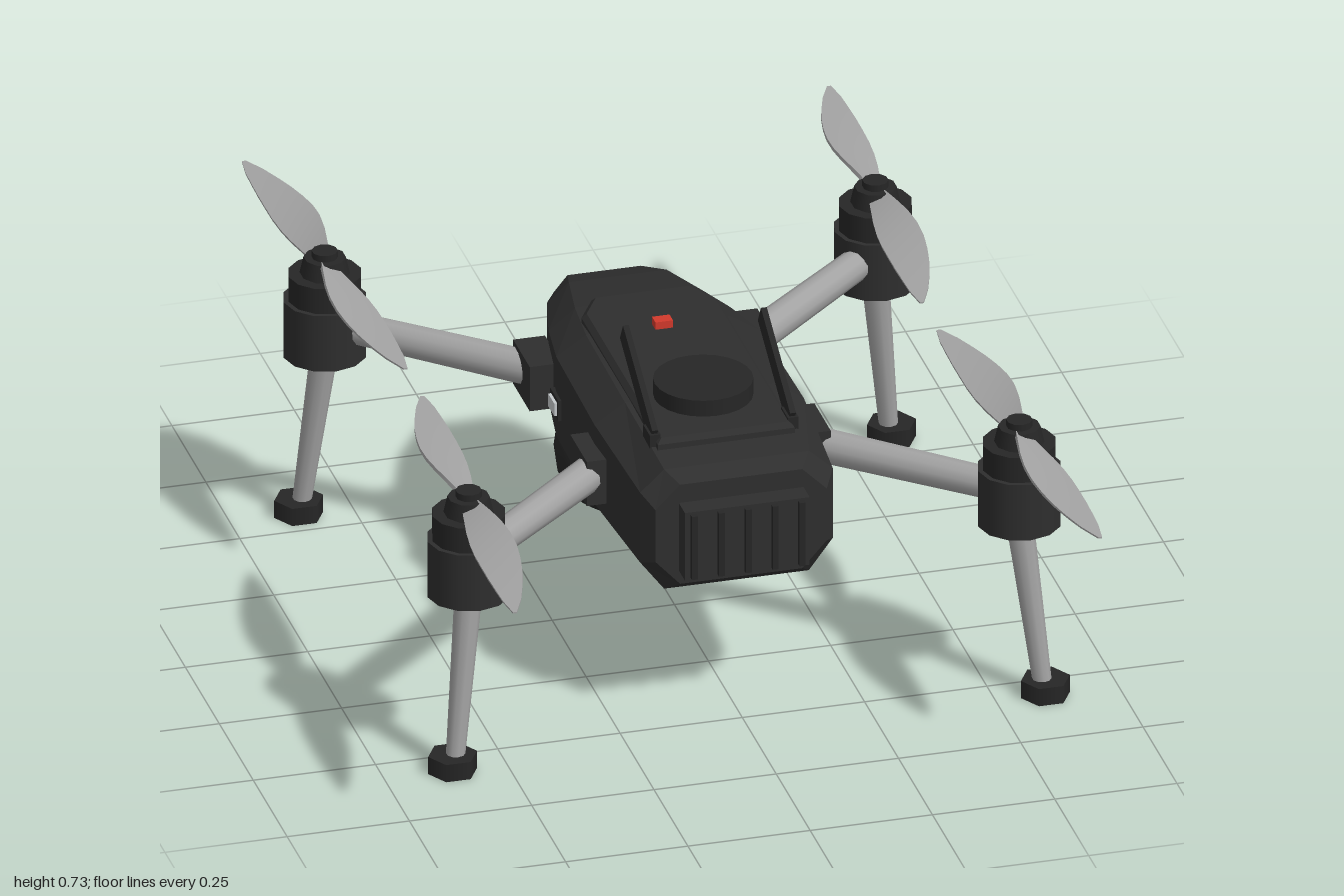
import * as THREE from 'three';

const mat = (name, color) => {
  const m = new THREE.MeshStandardMaterial({ color });
  m.name = name;
  return m;
};

export function createModel() {
  const shell = mat('charcoal shell', 0x2e2e2e);
  const dark = mat('dark trim', 0x262626);
  const grey = mat('grey composite', 0xa3a3a3);
  const light = mat('pale sensor', 0xc4c8ca);
  const red = mat('red light', 0xd23a2c);

  const model = new THREE.Group();
  model.name = 'quadcopter';

  const add = (name, geo, material, x = 0, y = 0, z = 0, parent = model) => {
    const m = new THREE.Mesh(geo, material);
    m.name = name;
    m.position.set(x, y, z);
    parent.add(m);
    return m;
  };
  const box = (w, h, d) => new THREE.BoxGeometry(w, h, d);
  const cyl = (rTop, rBot, h, n) => new THREE.CylinderGeometry(rTop, rBot, h, n);
  // Tapered tube between two points
  const tube = (name, a, b, ra, rb, material, n = 12) => {
    const dir = b.clone().sub(a);
    const m = add(name, cyl(rb, ra, dir.length(), n), material);
    m.position.copy(a).addScaledVector(dir, 0.5);
    m.quaternion.setFromUnitVectors(new THREE.Vector3(0, 1, 0), dir.normalize());
    return m;
  };

  // Faceted loft through octagonal sections, listed from +z to -z
  const loft = (sections) => {
    const rings = sections.map(([z, w, wt, yb, yl, yh, yt]) => [
      [wt, yb, z], [w, yl, z], [w, yh, z], [wt, yt, z],
      [-wt, yt, z], [-w, yh, z], [-w, yl, z], [-wt, yb, z]]);
    const p = [];
    const tri = (a, b, c) => p.push(...a, ...b, ...c);
    for (let i = 0; i < rings.length - 1; i++) {
      for (let j = 0; j < 8; j++) {
        const k = (j + 1) % 8, A = rings[i], B = rings[i + 1];
        tri(A[j], B[j], A[k]);
        tri(A[k], B[j], B[k]);
      }
    }
    const F = rings[0], R = rings[rings.length - 1];
    for (let j = 1; j < 7; j++) {
      tri(F[0], F[j], F[j + 1]);
      tri(R[0], R[j + 1], R[j]);
    }
    const g = new THREE.BufferGeometry();
    g.setAttribute('position', new THREE.Float32BufferAttribute(p, 3));
    g.computeVertexNormals();
    return g;
  };

  // Fuselage: z, half width, half width of top/bottom, four heights
  add('fuselage', loft([
    [0.51, 0.175, 0.125, 0.32, 0.375, 0.49, 0.54],
    [0.475, 0.197, 0.148, 0.295, 0.36, 0.515, 0.56],
    [0.2, 0.214, 0.152, 0.29, 0.355, 0.53, 0.572],
    [-0.1, 0.209, 0.148, 0.29, 0.355, 0.53, 0.57],
    [-0.24, 0.186, 0.132, 0.293, 0.36, 0.515, 0.558],
    [-0.4, 0.145, 0.1, 0.305, 0.365, 0.49, 0.53],
    [-0.5, 0.103, 0.075, 0.328, 0.372, 0.458, 0.492],
    [-0.528, 0.08, 0.055, 0.345, 0.38, 0.44, 0.465],
  ]), shell);

  // Raised top cover with clipped nose corners
  const cover = new THREE.Shape();
  [[-0.13, -0.39], [0.13, -0.39], [0.13, 0.16], [0.095, 0.22], [-0.095, 0.22], [-0.13, 0.16]]
    .forEach(([x, y], i) => (i ? cover.lineTo(x, y) : cover.moveTo(x, y)));
  const coverGeo = new THREE.ExtrudeGeometry(cover, {
    depth: 0.02, bevelEnabled: true, bevelThickness: 0.01, bevelSize: 0.01, bevelSegments: 1 });
  coverGeo.rotateX(-Math.PI / 2);
  add('topCover', coverGeo, shell, 0, 0.555, 0);
  add('positioningDome', cyl(0.099, 0.099, 0.04, 24), dark, 0, 0.6, 0.23);
  add('beacon', box(0.036, 0.018, 0.026), red, 0, 0.592, -0.07);

  // Battery with ribs at the +z end
  add('battery', box(0.255, 0.15, 0.05), shell, 0, 0.425, 0.53);
  for (let i = -2; i <= 2; i++) {
    add('batteryRib', box(0.012, 0.14, 0.014), dark, i * 0.055, 0.425, 0.559);
  }

  // Gimbal and camera ball under the nose
  add('gimbalMount', cyl(0.07, 0.07, 0.035, 16), dark, 0, 0.288, -0.39);
  add('cameraBall', new THREE.SphereGeometry(0.13, 16, 12), dark, 0, 0.153, -0.39);
  const lens = add('roundLens', cyl(0.028, 0.028, 0.03, 12), shell, 0.04, 0.153, -0.514);
  lens.rotation.set(-Math.PI / 2, 0, -0.3);
  const sensor = add('squareLens', box(0.055, 0.055, 0.03), shell, -0.055, 0.153, -0.502);
  sensor.rotation.y = 0.46;

  // Paired details on the fuselage
  for (const s of [-1, 1]) {
    const antenna = add('antenna', box(0.012, 0.045, 0.25), dark, s * 0.141, 0.643, 0.265);
    antenna.rotation.x = 0.53;
    add('antennaHinge', box(0.022, 0.03, 0.05), dark, s * 0.141, 0.575, 0.36);
    add('railStem', box(0.018, 0.03, 0.58), dark, s * 0.092, 0.283, 0.06);
    add('rail', box(0.038, 0.018, 0.625), dark, s * 0.092, 0.268, 0.06);
    for (let i = 0; i < 8; i++) {
      add('railStud', box(0.022, 0.01, 0.03), dark, s * 0.092, 0.257, -0.2 + i * 0.074);
    }
    add('sideSensorFrame', box(0.014, 0.045, 0.06), dark, s * 0.209, 0.43, -0.09);
    add('sideSensor', box(0.008, 0.028, 0.045), light, s * 0.218, 0.43, -0.09);
    add('noseSensorFrame', box(0.042, 0.05, 0.008), dark, s * 0.045, 0.415, -0.529);
    add('noseSensor', box(0.02, 0.028, 0.008), light, s * 0.045, 0.415, -0.533);
  }

  // Propeller blade: a thin slab tapered, swept and twisted along z
  const chord = [0.036, 0.055, 0.073, 0.084, 0.086, 0.08, 0.07, 0.055, 0.037, 0.008];
  const blade = (hand) => {
    const g = new THREE.BoxGeometry(1, 0.008, 1, 4, 1, 18);
    const p = g.attributes.position;
    for (let i = 0; i < p.count; i++) {
      const t = p.getZ(i) + 0.5;
      const f = Math.min(t * 9, 8.999), k = Math.floor(f);
      const c = THREE.MathUtils.lerp(chord[k], chord[k + 1], f - k);
      const u = p.getX(i) * c - hand * 0.012 * Math.sin(Math.PI * t);
      const a = -hand * (0.06 + 0.42 * (1 - t) ** 2);
      const v = p.getY(i) * (1 - 0.6 * t);
      p.setXYZ(i, u * Math.cos(a) - v * Math.sin(a),
        u * Math.sin(a) + v * Math.cos(a) - 0.008 * t, 0.02 + t * 0.45);
    }
    g.computeVertexNormals();
    return g;
  };

  // Four arms, each with motor, propeller, leg and foot
  for (const sx of [-1, 1]) {
    for (const sz of [-1, 1]) {
      const mx = sx * 0.563, mz = sz * 0.53;
      add('armBracket', box(0.065, 0.098, 0.122), shell, sx * 0.217, 0.439, sz * 0.21);
      tube('arm', new THREE.Vector3(sx * 0.2, 0.443, sz * 0.205),
        new THREE.Vector3(mx, 0.443, mz), 0.036, 0.032, grey);
      add('motorBase', cyl(0.084, 0.084, 0.123, 12), shell, mx, 0.4345, mz);
      add('motorBell', cyl(0.074, 0.074, 0.056, 12), dark, mx, 0.523, mz);
      add('propellerHub', cyl(0.042, 0.05, 0.036, 10), dark, mx, 0.568, mz);
      add('hubCap', cyl(0.026, 0.026, 0.016, 10), dark, mx, 0.592, mz);
      const prop = new THREE.Group();
      prop.name = 'propeller';
      prop.position.set(mx, 0.575, mz);
      prop.rotation.y = 0.075 * sx * sz;
      for (const turn of [0, Math.PI]) {
        add('blade', blade(sx * sz), grey, 0, 0, 0, prop).rotation.y = turn;
      }
      model.add(prop);
      tube('leg', new THREE.Vector3(sx * 0.6, 0.03, sz * 0.566),
        new THREE.Vector3(sx * 0.562, 0.39, sz * 0.53), 0.019, 0.028, grey, 10);
      add('foot', cyl(0.05, 0.05, 0.038, 6), dark, sx * 0.606, 0.019, sz * 0.567)
        .rotation.y = Math.PI / 6;
      // Navigation lights on the nose-end motors
      if (sz < 0) {
        add('navigationLight', box(0.022, 0.016, 0.012), sx < 0 ? red : light, mx, 0.42, mz - 0.086);
      }
    }
  }

  model.position.x = -0.005;
  const root = new THREE.Group();
  root.name = 'drone';
  root.add(model);
  return root;
}
